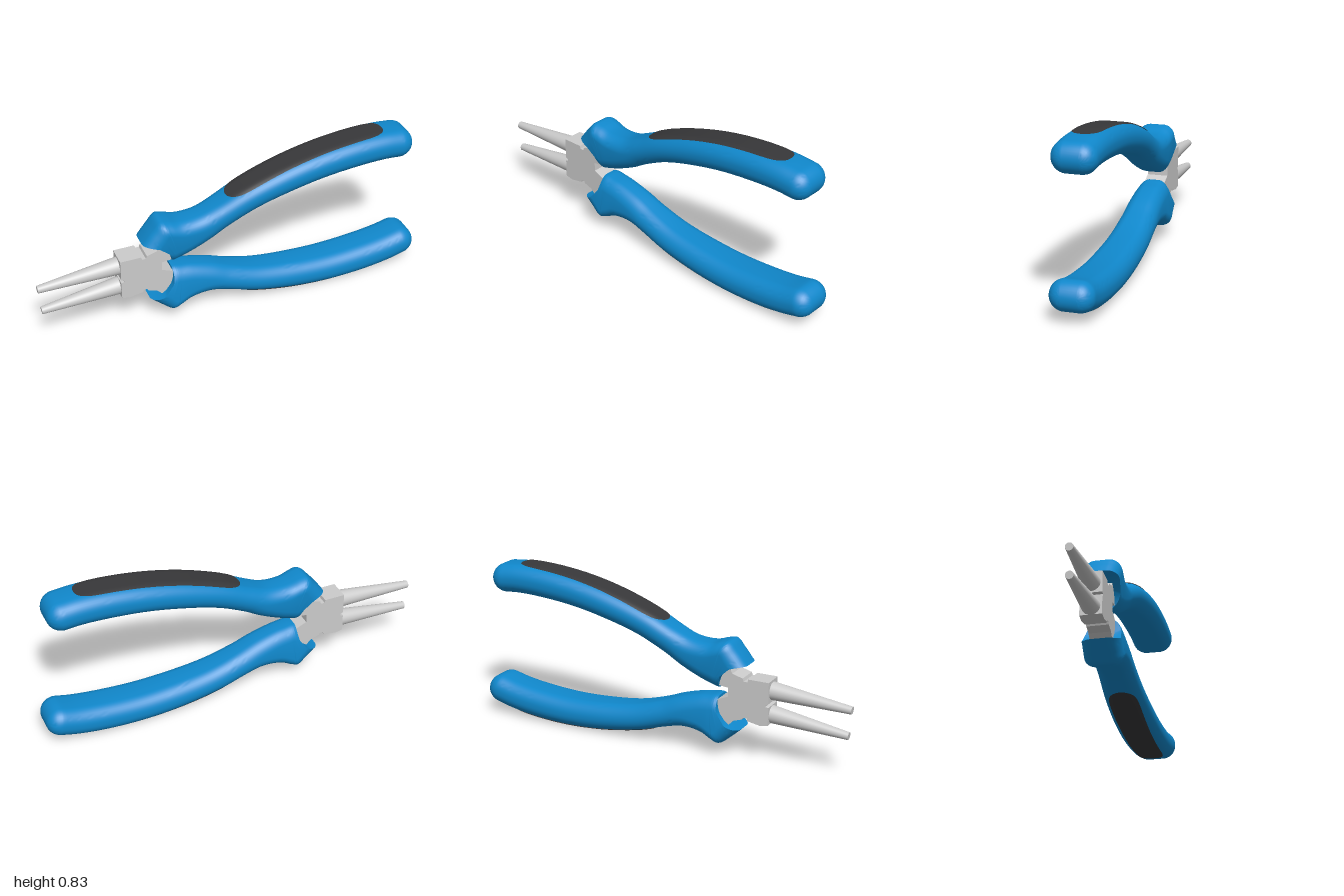
import * as THREE from 'three';
import { toCreasedNormals } from 'three/addons/utils/BufferGeometryUtils.js';

const steel = new THREE.MeshStandardMaterial({ color: 0xcccccc });
const blue = new THREE.MeshStandardMaterial({ color: 0x1088cc });
const dark = new THREE.MeshStandardMaterial({ color: 0x38383a, side: THREE.DoubleSide });

const PIVOT = new THREE.Vector3(-0.48, 0.32, 0);
const CORNER = 0.07;

// Handle edges, front to rear: outer x, y, half width, inner x, y, half width
const STATIONS = [
  [-0.455, 0.155, 0.100, -0.335, 0.310, 0.078],
  [-0.395, 0.102, 0.101, -0.325, 0.311, 0.078],
  [-0.345, 0.066, 0.101, -0.310, 0.310, 0.078],
  [-0.310, 0.075, 0.100, -0.285, 0.306, 0.079],
  [-0.250, 0.103, 0.096, -0.230, 0.298, 0.080],
  [-0.150, 0.115, 0.094, -0.120, 0.268, 0.084],
  [-0.050, 0.095, 0.097, -0.010, 0.225, 0.088],
  [0.100, 0.052, 0.103, 0.130, 0.184, 0.095],
  [0.300, 0.018, 0.108, 0.310, 0.160, 0.102],
  [0.500, 0.005, 0.110, 0.500, 0.151, 0.106],
  [0.700, 0.013, 0.110, 0.690, 0.162, 0.107],
  [0.850, 0.034, 0.109, 0.825, 0.180, 0.107],
  [0.940, 0.056, 0.108, 0.910, 0.200, 0.107],
];
// The z of each edge curve carries the half width
const outerEdge = new THREE.CatmullRomCurve3(STATIONS.map((s) => new THREE.Vector3(s[0], s[1], s[2])));
const innerEdge = new THREE.CatmullRomCurve3(STATIONS.map((s) => new THREE.Vector3(s[3], s[4], s[5])));

function frameAt(t) {
  const o = outerEdge.getPoint(t), i = innerEdge.getPoint(t);
  const out = new THREE.Vector3(o.x - i.x, o.y - i.y, 0);
  const half = out.length() / 2;
  out.normalize();
  return {
    mid: new THREE.Vector3((o.x + i.x) / 2, (o.y + i.y) / 2, 0),
    out, half, along: new THREE.Vector3(-out.y, out.x, 0), wide: o.z, narrow: i.z / o.z,
  };
}

function gridGeometry(rows, closed) {
  const cols = rows[0].length, index = [];
  for (let i = 0; i < rows.length - 1; i++) {
    for (let k = 0; k < (closed ? cols : cols - 1); k++) {
      const n = (k + 1) % cols, a = i * cols, b = a + cols;
      index.push(a + k, a + n, b + k, a + n, b + n, b + k);
    }
  }
  const g = new THREE.BufferGeometry().setFromPoints(rows.flat());
  g.setIndex(index);
  return g;
}

// Rounded section; size shrinks it to a point, dome (0..1) rounds off the rear end
function section(t, size = 1, dome = 0) {
  const f = frameAt(t), c = Math.cos(dome * Math.PI / 2);
  const h = f.half * c, w = f.wide - CORNER * (1 - c), r = Math.min(CORNER, h);
  const advance = CORNER * Math.sin(dome * Math.PI / 2);
  const hollow = 0.045 * Math.max(0, 1 - t * 4);
  const ring = [], N = 40;
  for (let k = 0; k < N; k++) {
    const a = (k + 0.5) / N * Math.PI * 2, ca = Math.cos(a), sa = Math.sin(a);
    const y = (Math.sign(sa) * (h - r) + r * sa) * size;
    const v = y / f.half;
    const z = (Math.sign(ca) * (w - r) + r * ca) * size * THREE.MathUtils.lerp(f.narrow, 1, (v + 1) / 2);
    const p = f.mid.clone().addScaledVector(f.out, y);
    p.addScaledVector(f.along, advance + hollow * (1 - v * v));
    p.z = z;
    ring.push(p);
  }
  return ring;
}

function handleGeometry() {
  const rows = [0, 0.35, 0.7].map((s) => section(0, s));
  for (let i = 0; i <= 72; i++) rows.push(section(i / 72));
  for (let i = 1; i <= 10; i++) rows.push(section(1, 1, i / 10));
  return toCreasedNormals(gridGeometry(rows, true), 0.6);
}

// Soft inlay that follows the outer face of the handle, with rounded ends
function padGeometry() {
  const rows = [];
  for (let i = 0; i <= 60; i++) {
    const s = -Math.cos(i / 60 * Math.PI);
    const f = frameAt(THREE.MathUtils.lerp(0.535, 0.925, (s + 1) / 2));
    const hw = (0.071 - 0.005 * s) * Math.sqrt(Math.max(0, 1 - Math.abs(s) ** 9));
    const row = [];
    for (let k = 0; k <= 16; k++) {
      const z = hw * (k / 8 - 1);
      const over = Math.max(0, Math.abs(z) - (f.wide - CORNER));
      const drop = CORNER - Math.sqrt(CORNER * CORNER - over * over);
      const p = f.mid.clone().addScaledVector(f.out, f.half - drop + 0.004);
      p.z = z;
      row.push(p);
    }
    rows.push(row.reverse());
  }
  const g = gridGeometry(rows, false);
  g.computeVertexNormals();
  return g;
}

// Tapered round jaw between two points
function jawGeometry(from, to, r0, r1) {
  const dir = to.clone().sub(from);
  const g = new THREE.CylinderGeometry(r1, r0, dir.length(), 32);
  g.applyQuaternion(new THREE.Quaternion().setFromUnitVectors(new THREE.Vector3(0, 1, 0), dir.clone().normalize()));
  const m = from.clone().add(to).multiplyScalar(0.5);
  return g.translate(m.x, m.y, m.z);
}

function mesh(name, geometry, material) {
  const m = new THREE.Mesh(geometry, material);
  m.name = name;
  return m;
}

// One lever: handle, inlay and jaw, placed about the pivot
function lever(name) {
  const g = new THREE.Group();
  g.name = name;
  const jaw = jawGeometry(new THREE.Vector3(-0.57, 0.253, 0), new THREE.Vector3(-0.99, 0.212, 0), 0.046, 0.019);
  g.add(
    mesh('handle', handleGeometry(), blue),
    mesh('gripInlay', padGeometry(), dark),
    mesh('jaw', jaw, steel),
  );
  g.children.forEach((c) => c.geometry.translate(-PIVOT.x, -PIVOT.y, 0));
  g.position.copy(PIVOT);
  return g;
}

export function createModel() {
  const model = new THREE.Group();
  model.name = 'roundNosePliers';

  const lower = lever('lowerLever');
  // The second lever is the first turned over and opened
  const upper = lever('upperLever');
  upper.rotation.set(Math.PI, 0, THREE.MathUtils.degToRad(9.5), 'ZYX');
  model.add(lower, upper);

  // Joint plate with relief notches and tangs reaching into the handles
  const outline = [
    [-0.6, 0.208], [-0.56, 0.2], [-0.492, 0.212], [-0.488, 0.224], [-0.47, 0.226], [-0.465, 0.215],
    [-0.42, 0.2], [-0.36, 0.14], [-0.26, 0.18], [-0.28, 0.28], [-0.34, 0.298], [-0.39, 0.32],
    [-0.39, 0.365], [-0.34, 0.37], [-0.26, 0.44], [-0.3, 0.52], [-0.4, 0.46], [-0.41, 0.44],
    [-0.465, 0.425], [-0.47, 0.41], [-0.49, 0.41], [-0.494, 0.425], [-0.6, 0.425],
    [-0.6, 0.318], [-0.585, 0.312], [-0.585, 0.302], [-0.6, 0.298],
  ];
  const shape = new THREE.Shape(outline.map(([x, y]) => new THREE.Vector2(x, y)));
  const plate = new THREE.ExtrudeGeometry(shape, { depth: 0.106, bevelEnabled: false });
  model.add(mesh('jointPlate', plate.translate(0, 0, -0.053), steel));
  return model;
}
